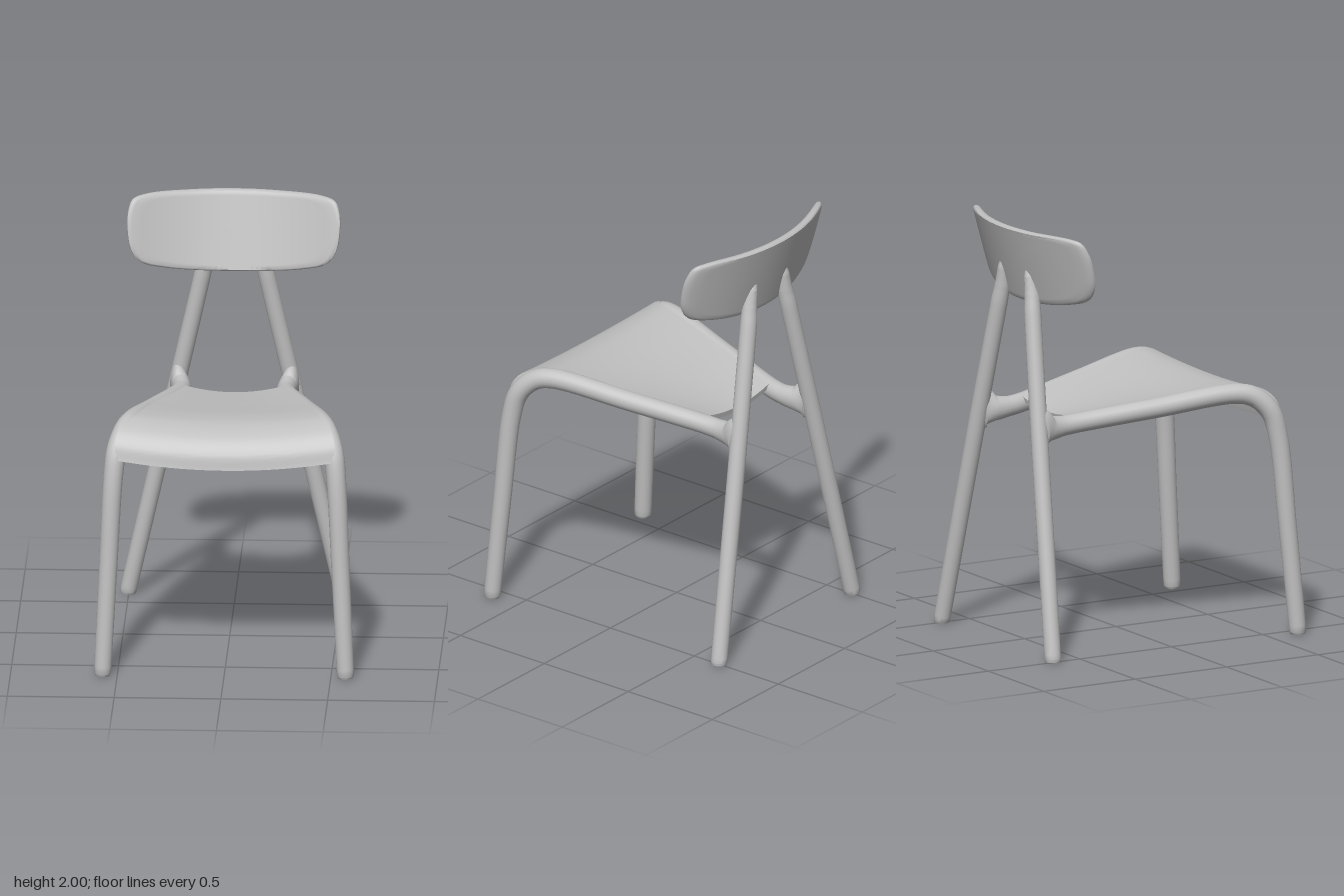
import * as THREE from 'three';
import { toCreasedNormals } from 'three/addons/utils/BufferGeometryUtils.js';

const V = (x, y, z) => new THREE.Vector3(x, y, z);

// Skin over a list of closed rings with equal point counts
function loft(rings) {
  const n = rings[0].length, pos = [], idx = [];
  rings.forEach(r => r.forEach(p => pos.push(p.x, p.y, p.z)));
  for (let i = 0; i < rings.length - 1; i++) {
    for (let j = 0; j < n; j++) {
      const a = i * n + j, b = i * n + (j + 1) % n;
      idx.push(a, b, b + n, a, b + n, a + n);
    }
  }
  const g = new THREE.BufferGeometry();
  g.setAttribute('position', new THREE.Float32BufferAttribute(pos, 3));
  g.setIndex(idx);
  return toCreasedNormals(g, 0.8);
}

// Tube along stations [x, y, z, width radius, height radius]
function bar(stations, side, steps = 96, sides = 20) {
  const curve = new THREE.CatmullRomCurve3(stations.map(s => V(s[0] * side, s[1], s[2])));
  const rings = [];
  for (let i = 0; i <= steps; i++) {
    const t = i / steps, k = t * (stations.length - 1);
    const lo = Math.min(Math.floor(k), stations.length - 2), f = k - lo;
    const radius = c => THREE.MathUtils.lerp(stations[lo][c] ?? stations[lo][3],
      stations[lo + 1][c] ?? stations[lo + 1][3], f);
    const c = curve.getPoint(t), tan = curve.getTangent(t);
    const b = V(1, 0, 0).addScaledVector(tan, -tan.x).normalize();
    const n = tan.clone().cross(b);
    const ring = Array.from({ length: sides }, (_, j) => {
      const a = j / sides * Math.PI * 2;
      const p = c.clone().addScaledVector(b, Math.cos(a) * radius(3))
        .addScaledVector(n, Math.sin(a) * radius(4));
      p.y = Math.max(0, p.y);
      return p;
    });
    const cap = ring.map(() => c.clone());
    if (i === 0) rings.push(cap);
    rings.push(ring);
    if (i === steps) rings.push(cap);
  }
  return loft(rings);
}

// Seat shell: sagging cross-sections swept from the rear edge over the front lip
function seatGeometry() {
  const edge = new THREE.CatmullRomCurve3([[.225, 1.105, -.375], [.345, 1.158, 0], [.435, 1.2, .33],
    [.468, 1.198, .44], [.498, 1.165, .525], [.515, 1.105, .575], [.505, 1.035, .597]].map(p => V(...p)));
  const mid = new THREE.CatmullRomCurve3([[0, 1.075, -.375], [0, 1.13, 0], [0, 1.174, .33],
    [0, 1.17, .45], [0, 1.135, .55], [0, 1.07, .605], [0, 1.0, .622]].map(p => V(...p)));
  const steps = 60, across = 24, rings = [];
  const section = (t, thick) => {
    const e = edge.getPoint(t), m = mid.getPoint(t), d = mid.getTangent(t);
    const normal = V(0, d.z, -d.y);
    const line = depth => Array.from({ length: across + 1 }, (_, j) => {
      const u = 1 - 2 * j / across, p = m.clone().lerp(e, u * u);
      p.x = e.x * u;
      return p.addScaledVector(normal, -depth);
    });
    return [...line(.0125 - thick / 2), ...line(.0125 + thick / 2).reverse()];
  };
  rings.push(section(0, 0));
  for (let i = 0; i <= steps; i++) rings.push(section(i / steps, .025));
  rings.push(section(1, 0));
  return loft(rings);
}

// Backrest: concentric outlines, rounded at the rim, bent and tilted back
function backrestGeometry() {
  const half = [[.42, 1.998], [.475, 1.982], [.496, 1.93], [.498, 1.85], [.48, 1.755],
    [.435, 1.695], [.33, 1.66], [.17, 1.637]];
  const outline = new THREE.CatmullRomCurve3([
    V(0, 1.63, 0), ...half.slice().reverse().map(p => V(p[0], p[1], 0)), V(.2, 2, 0), V(0, 2, 0),
    V(-.2, 2, 0), ...half.map(p => V(-p[0], p[1], 0))], true).getPoints(120).slice(0, -1);
  const layers = [];
  for (let i = 0; i <= 10; i++) layers.push([i / 10 * .95, -.02]);
  layers.push([.98, -.015], [.995, -.008], [1, 0], [.995, .008], [.98, .015]);
  for (let i = 10; i >= 0; i--) layers.push([i / 10 * .95, .02]);
  return loft(layers.map(([s, depth]) => outline.map(p => {
    const x = p.x * s, y = 1.82 + (p.y - 1.82) * s;
    return V(x, y, -.61 + .285 * (2 - y) + .56 * x * x + depth);
  })));
}

export function createModel() {
  const chair = new THREE.Group();
  chair.name = 'chair';
  const grey = new THREE.MeshStandardMaterial({ color: 0xc0c0c0 });
  grey.name = 'light grey';
  const add = (name, geometry) => {
    const mesh = new THREE.Mesh(geometry, grey);
    mesh.name = name;
    chair.add(mesh);
  };

  // Front leg bending into the seat rail, flared where it meets the rear leg
  const frontLeg = [[.57, 0, .65, .034], [.569, .015, .649, .04], [.545, .5, .61, .043],
    [.522, .95, .57, .046], [.507, 1.07, .535, .048], [.478, 1.14, .465, .048],
    [.45, 1.16, .38, .048], [.35, 1.115, 0, .047], [.255, 1.07, -.36, .046],
    [.245, 1.062, -.44, .045, .048], [.25, 1.06, -.51, .045, .06],
    [.264, 1.065, -.555, .04, .095], [.27, 1.06, -.585, .025, .1]];
  // Rear leg running up to taper into the backrest
  const rearLeg = [[.505, 0, -.65, .034], [.502, .015, -.649, .039], [.283, 1, -.588, .041],
    [.15, 1.6, -.547, .04], [.134, 1.68, -.541, .036], [.118, 1.77, -.545, .026],
    [.11, 1.82, -.55, .01]];
  for (const [label, side] of [['left', 1], ['right', -1]]) {
    add(label + 'FrontLegAndRail', bar(frontLeg, side));
    add(label + 'RearLeg', bar(rearLeg, side));
  }

  add('seat', seatGeometry());
  add('backrest', backrestGeometry());
  return chair;
}
